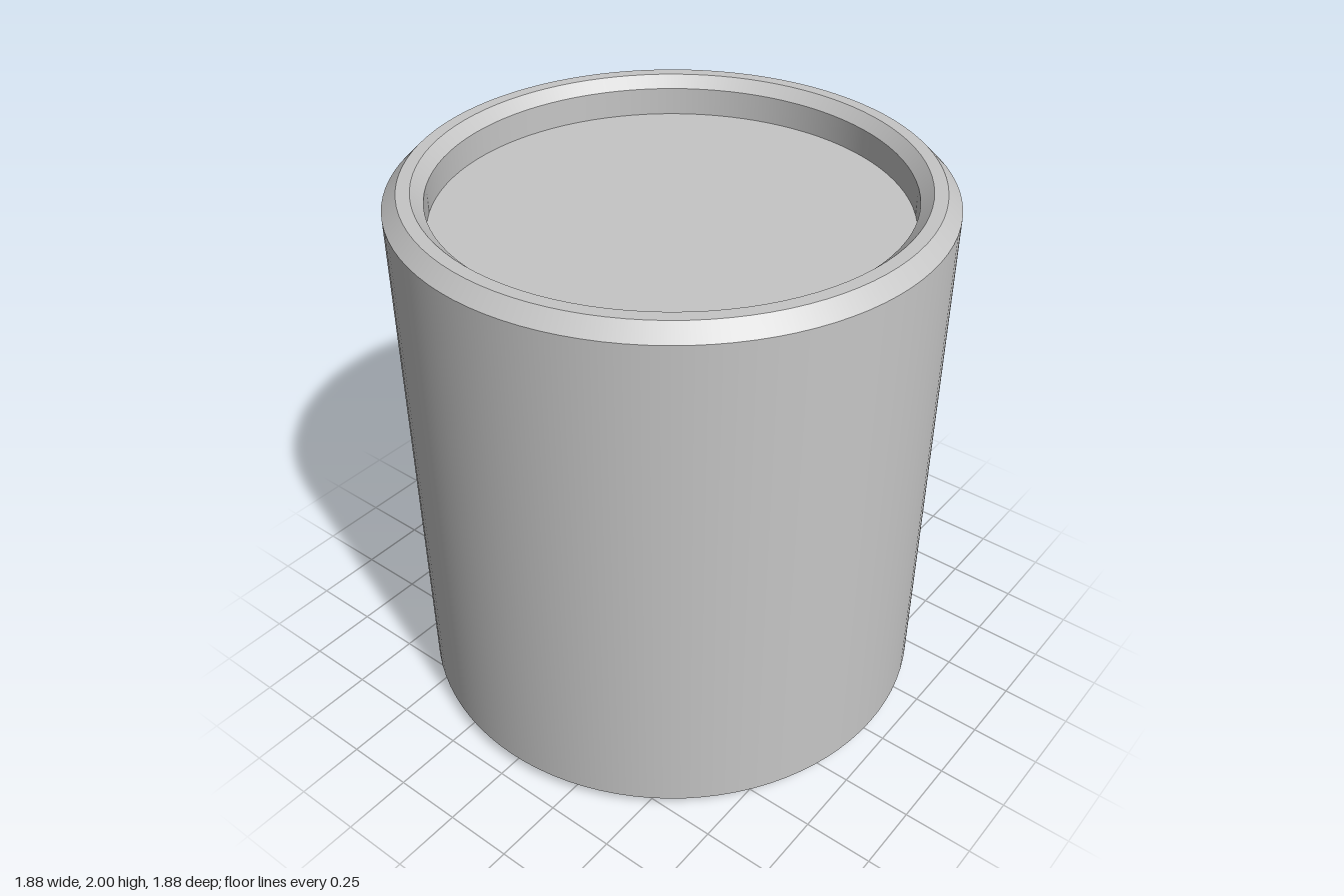
import * as THREE from 'three';

const SEGMENTS = 96;

export function createModel() {
  const group = new THREE.Group();
  group.name = 'hollowCup';
  const grey = new THREE.MeshStandardMaterial({ color: 0xc6c6c6 });
  grey.name = 'grey';

  // Revolve each straight run separately: smooth around, sharp between runs
  function revolve(name, profile) {
    const part = new THREE.Group();
    part.name = name;
    for (let i = 0; i < profile.length - 1; i++) {
      const run = [profile[i], profile[i + 1]].map(([r, y]) => new THREE.Vector2(r, y));
      const mesh = new THREE.Mesh(new THREE.LatheGeometry(run, SEGMENTS), grey);
      mesh.name = `${name}Face${i + 1}`;
      part.add(mesh);
    }
    group.add(part);
  }

  // Outer wall with a chamfer at each end
  revolve('outerWall', [[0.89, 0], [0.94, 0.05], [0.94, 1.95], [0.89, 2]]);

  // Flat top rim, inner chamfer, shallow recess and its floor
  revolve('topRecess', [[0.89, 2], [0.845, 2], [0.805, 1.96], [0.805, 1.86], [0, 1.86]]);

  // Underside: ceiling, deep bore, inner chamfer and flat bottom rim
  revolve('lowerBore', [[0, 1.76], [0.805, 1.76], [0.805, 0.04], [0.845, 0], [0.89, 0]]);

  return group;
}
